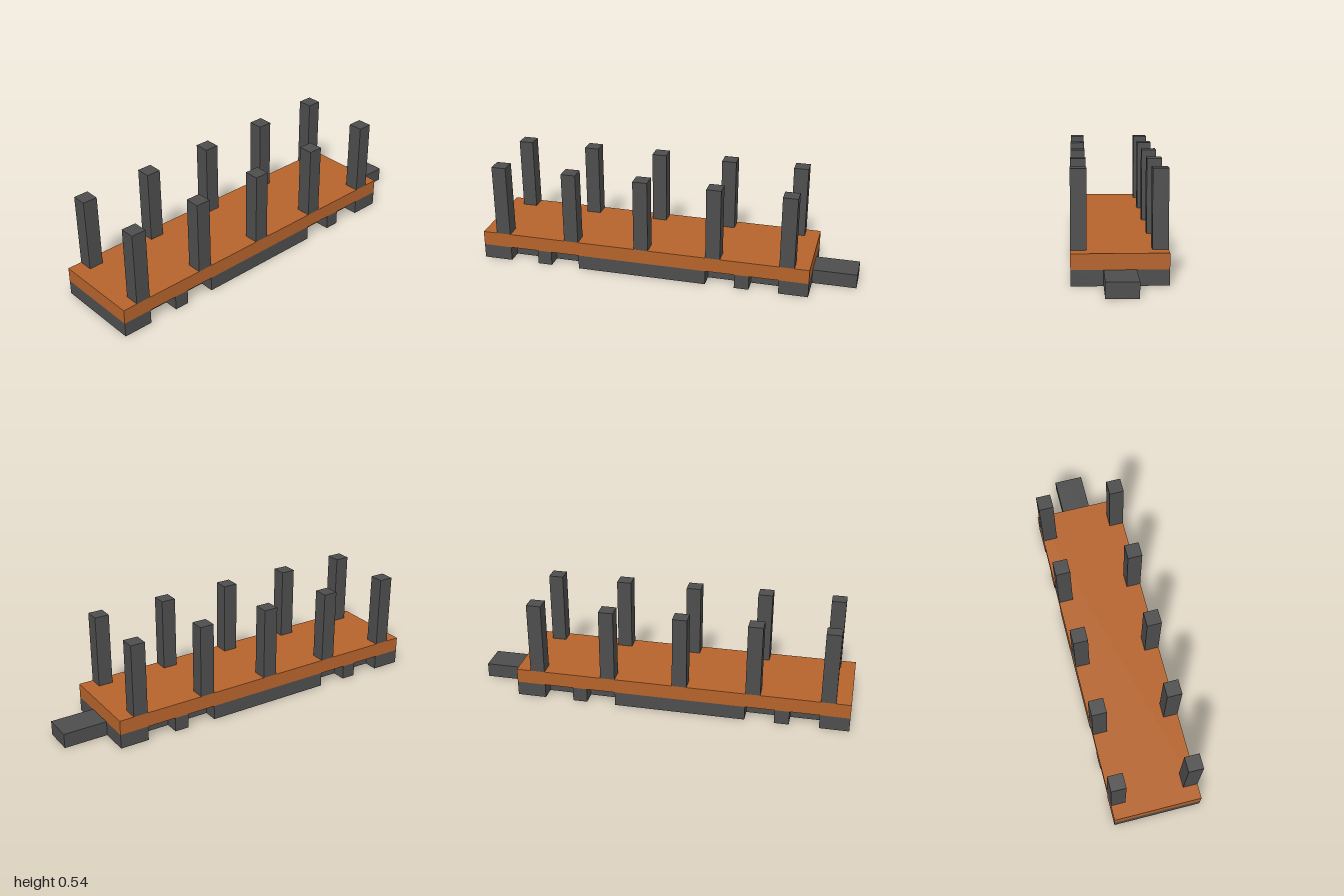
import * as THREE from 'three';

const U = 1 / 13; // module unit: the whole length is 26 units

export function createModel() {
  const model = new THREE.Group();
  const orange = new THREE.MeshStandardMaterial({ color: 0xb5632b });
  orange.name = 'orange';
  const grey = new THREE.MeshStandardMaterial({ color: 0x4d4d4d });
  grey.name = 'dark grey';

  // sizes and lower corner in units, x measured from the left end
  function box(name, material, [w, h, d], [x, y, z]) {
    const mesh = new THREE.Mesh(new THREE.BoxGeometry(w * U, h * U, d * U), material);
    mesh.position.set((x + w / 2 - 13) * U, (y + h / 2) * U, (z + d / 2) * U);
    mesh.name = name;
    model.add(mesh);
  }

  // base: long slab with four notches on each side and a coupling tongue
  const edge = [[0, 3]];
  for (const x of [2, 5, 16, 19]) {
    edge.push([x, 3], [x, 2], [x + 2, 2], [x + 2, 3]);
  }
  edge.push([23, 3], [23, 1], [26, 1]);
  const outline = [...edge, ...edge.map(([x, z]) => [x, -z]).reverse()]
    .map(([x, z]) => new THREE.Vector2((x - 13) * U, z * U));
  const baseGeometry = new THREE.ExtrudeGeometry(new THREE.Shape(outline), { depth: U, bevelEnabled: false });
  baseGeometry.rotateX(-Math.PI / 2);
  const base = new THREE.Mesh(baseGeometry, grey);
  base.name = 'notchedBase';
  model.add(base);

  // deck
  box('deck', orange, [23, 1, 6], [0, 1, -3]);

  // five pairs of upright posts
  for (let i = 0; i < 5; i++) {
    box('frontPost' + (i + 1), grey, [1, 5, 1], [1 + i * 5, 2, 2]);
    box('backPost' + (i + 1), grey, [1, 5, 1], [1 + i * 5, 2, -3]);
  }
  return model;
}
